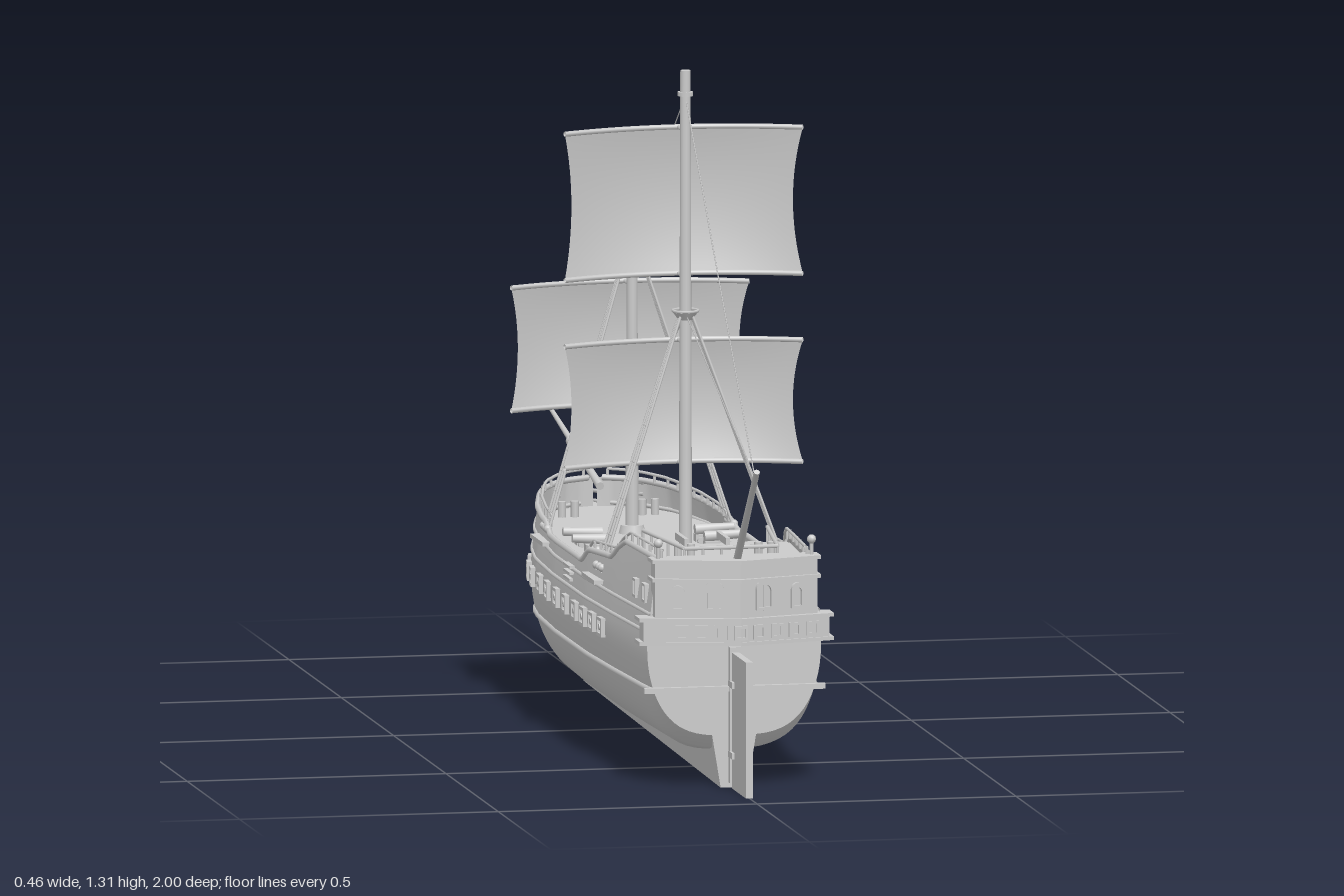
import * as THREE from 'three';

const mat = new THREE.MeshStandardMaterial({ color: 0xcccccc, side: THREE.DoubleSide });
const V = (x, y, z) => new THREE.Vector3(x, y, z);

// Piecewise-linear lookup in a list of [z, value], z descending
function table(rows) {
  return z => {
    if (z >= rows[0][0]) return rows[0][1];
    for (let i = 1; i < rows.length; i++) {
      const [z0, a] = rows[i - 1], [z1, b] = rows[i];
      if (z >= z1) return a + (b - a) * (z0 - z) / (z0 - z1);
    }
    return rows[rows.length - 1][1];
  };
}
const STERN = 0.78, BOW = -0.55, DECK = 0.345, POOP = 0.425;
// Hull lines: beam, bottom, height of widest point, top edge
const beam = table([[.78, .168], [.5, .185], [.3, .194], [0, .195], [-.2, .187], [-.3, .175], [-.4, .15], [-.45, .13], [-.5, .096], [-.53, .06], [-.545, .03], [-.55, .004]]);
const bottom = table([[.78, .1], [.76, .075], [.72, .065], [-.28, .065], [-.38, .098], [-.47, .15], [-.51, .205], [-.535, .26], [-.55, .31]]);
const widest = table([[.78, .27], [-.4, .27], [-.5, .3], [-.55, .35]]);
const sheer = table([[.78, .44], [.54, .44], [.5, .425], [.46, .4], [.28, .388], [.24, .362], [-.08, .362], [-.14, .378], [-.55, .4]]);

function halfWidth(z, y) {
  const m = widest(z), b = bottom(z);
  if (y >= m) return beam(z) * (1 - 0.09 * ((y - m) / 0.13) ** 1.3);
  const c = 1 - Math.max(0, (y - b) / (m - b));
  return beam(z) * Math.sqrt(1 - c * c) ** 0.6;
}

// Surface from a rule on u, v in 0..1
function grid(nu, nv, rule) {
  const pos = [], idx = [];
  for (let j = 0; j <= nv; j++) for (let i = 0; i <= nu; i++) pos.push(...rule(i / nu, j / nv));
  for (let j = 0; j < nv; j++) for (let i = 0; i < nu; i++) {
    const a = j * (nu + 1) + i, b = a + nu + 1;
    idx.push(a, a + 1, b, a + 1, b + 1, b);
  }
  const g = new THREE.BufferGeometry();
  g.setAttribute('position', new THREE.Float32BufferAttribute(pos, 3));
  g.setIndex(idx);
  g.computeVertexNormals();
  return g;
}

export function createModel() {
  const ship = new THREE.Group();
  ship.name = 'sailingShip';
  const add = (name, geo, x = 0, y = 0, z = 0, ry = 0) => {
    const m = new THREE.Mesh(geo, mat);
    m.name = name;
    m.position.set(x, y, z);
    m.rotation.y = ry;
    ship.add(m);
    return m;
  };
  const box = (name, w, h, d, x, y, z, ry) => add(name, new THREE.BoxGeometry(w, h, d), x, y, z, ry);
  const bar = (name, a, b, r0, r1 = r0, sides = 6) => {
    const d = b.clone().sub(a);
    const m = add(name, new THREE.CylinderGeometry(r1, r0, d.length(), sides));
    m.position.copy(a).addScaledVector(d, 0.5);
    m.quaternion.setFromUnitVectors(V(0, 1, 0), d.normalize());
    return m;
  };
  const tube = (name, pts, r, n = 60) => add(name, new THREE.TubeGeometry(new THREE.CatmullRomCurve3(pts), n, r, 6));
  const slab = (name, pts, y0, y1) => {
    const s = new THREE.Shape(pts.map(([x, z]) => new THREE.Vector2(x, -z)));
    return add(name, new THREE.ExtrudeGeometry(s, { depth: y1 - y0, bevelEnabled: false }).rotateX(-Math.PI / 2), 0, y0);
  };
  // Square or arched frame, facing +z
  const frame = (w, h, t, d, arch) => {
    const outline = (S, a, b) => {
      const s = new S();
      s.moveTo(-a, -b); s.lineTo(a, -b); s.lineTo(a, b);
      if (arch) s.absarc(0, b, a, 0, Math.PI, false); else s.lineTo(-a, b);
      s.closePath();
      return s;
    };
    const s = outline(THREE.Shape, w / 2, h / 2);
    s.holes.push(outline(THREE.Path, w / 2 - t, h / 2 - t));
    return new THREE.ExtrudeGeometry(s, { depth: d, bevelEnabled: false, curveSegments: 8 });
  };

  // Hull shell and stern board
  add('hull', grid(56, 100, (u, v) => {
    const z = STERN + (BOW - STERN) * Math.sin(v * Math.PI / 2);
    const k = Math.abs(2 * u - 1), m = widest(z), b = bottom(z);
    const y = k < 0.6 ? b + (m - b) * (1 - Math.cos(k / 0.6 * Math.PI / 2)) : m + (sheer(z) - m) * (k - 0.6) / 0.4;
    return [Math.sign(u - 0.5) * halfWidth(z, y), y, z];
  }));
  add('transom', grid(2, 24, (u, v) => {
    const y = .1 + .34 * v * v;
    return [(2 * u - 1) * halfWidth(STERN, y), y, STERN];
  }));

  // Decks
  const deck = (name, z0, z1, y) => add(name, grid(2, 50, (u, v) => {
    const z = z0 + (z1 - z0) * v;
    return [(2 * u - 1) * halfWidth(z, y) * 0.99, y, z];
  }));
  deck('mainDeck', .5, -.548, DECK);
  deck('poopDeck', STERN, .5, POOP);
  box('poopBulkhead', .33, POOP - DECK, .006, 0, (POOP + DECK) / 2, .5);
  for (let i = 0; i < 5; i++) for (const s of [-1, 1]) box('stairStep', .05, .016 * (5 - i), .016, s * .075, DECK + .008 * (5 - i), .49 - i * .016);
  box('hatch', .13, .008, .085, 0, DECK + .004, .07);
  box('hatchGrating', .11, .012, .065, 0, DECK + .005, .07);
  for (const x of [-.04, .04]) box('deckBench', .008, .014, .09, x, POOP + .007, .48);

  // Keel and curved stem, tapering downward and toward the bow
  const side = new THREE.Shape();
  side.moveTo(.78, 0); side.lineTo(-.625, 0);
  side.splineThru([[-.585, .065], [-.565, .14], [-.58, .22], [-.62, .29], [-.685, .335]].map(p => new THREE.Vector2(...p)));
  side.lineTo(-.53, .34); side.lineTo(-.5, .2); side.lineTo(-.36, .1); side.lineTo(-.25, .075); side.lineTo(.78, .11);
  const keel = new THREE.ExtrudeGeometry(side, { depth: 2, bevelEnabled: false, curveSegments: 24 }).translate(0, 0, -1).rotateY(-Math.PI / 2);
  const kp = keel.attributes.position;
  for (let i = 0; i < kp.count; i++) {
    const f = Math.min(1, Math.max(.15, (kp.getZ(i) + .68) / .2));
    kp.setX(i, kp.getX(i) * (.026 + Math.min(.018, kp.getY(i) * .25)) * f);
  }
  keel.computeVertexNormals();
  add('keel', keel);
  box('rudder', .014, .26, .135, 0, .13, .86);
  box('sternPost', .022, .26, .016, 0, .14, .786);
  for (const y of [.065, .2]) box('rudderHinge', .024, .012, .04, 0, y, .8);

  // Gallery across the stern
  const plan = (w, z0, z1, z2) => [[-w, z0], [-w, z1], [0, z2], [w, z1], [w, z0]];
  slab('sternCastle', plan(.157, .76, .80, .84), .285, .44);
  slab('gallery', plan(.18, .765, .803, .846), .285, .327);
  for (const [y, w] of [[.28, .188], [.325, .188], [.4, .163], [.436, .163]]) slab('galleryMoulding', plan(w, .76, .805, .85), y, y + .007);
  const onStern = (name, geo, x, y, out) => add(name, geo, x, y, .84 + out - .258 * Math.abs(x), Math.sign(x) * .252);
  for (let i = -4; i <= 4; i++) onStern('galleryWindow', frame(.025, .027, .005, .006), i * .036, .305, .005);
  for (const x of [-.048, .048]) {
    onStern('archedWindow', frame(.036, .04, .005, .006, true), x, .366, 0);
    onStern('windowBar', new THREE.BoxGeometry(.003, .05, .008), x, .368, 0);
  }
  for (const x of [-.115, .115]) onStern('smallWindow', frame(.026, .036, .005, .006, true), x, .363, 0);
  box('wales', .35, .01, .012, 0, .19, STERN + .004);

  // Side planking, ports, rails; mirrored
  const along = (s, z0, z1, n, yOf, out = 0) => Array.from({ length: n + 1 }, (_, i) => {
    const z = z0 + (z1 - z0) * i / n, y = yOf(z);
    return V(s * (halfWidth(z, y) + out), y, z);
  });
  const ports = [.45, .38, .31, .235, .145, .06, -.03, -.12, -.215, -.29, -.37, -.45];
  for (const s of [-1, 1]) {
    tube('lowerWale', along(s, .785, -.505, 40, () => .19), .006, 90);
    tube('middleWale', along(s, .785, -.54, 40, z => .3 + .05 * Math.max(0, -z - .2)), .004, 90);
    tube('upperWale', along(s, .785, -.545, 40, z => .335 + .03 * Math.max(0, -z)), .004, 90);
    tube('gunwale', along(s, .785, -.548, 60, sheer), .006, 120);
    for (const [a, b] of [[.78, .26], [-.12, -.545]]) {
      tube('topRail', along(s, a, b, 30, z => sheer(z) + .017, -.006), .003, 70);
      for (const p of along(s, a, b, 12, sheer, -.006)) bar('railPost', p, p.clone().add(V(0, .017, 0)), .003);
    }
    const outward = z => s * (Math.PI / 2 - Math.atan((halfWidth(z + .02, .265) - halfWidth(z - .02, .265)) / .04) * 1);
    for (const z of ports) {
      const x = s * (halfWidth(z, .265) - .004);
      add('gunPort', frame(.036, .036, .006, .012), x, .265, z, s * Math.PI - outward(z));
      bar('portMuzzle', V(x, .265, z), V(x + s * .012, .265, z), .007, .006, 8);
    }
    for (const z of [.66, .73]) add('cabinWindow', frame(.03, .036, .005, .009), s * (halfWidth(z, .37) - .003), .37, z, s * Math.PI / 2);
    for (const z of [.36, -.14]) box('shroudChannel', .022, .008, .12, s * (halfWidth(z, .345) + .004), .345, z);
    for (let i = 0; i < 3; i++) box('sideStep', .012, .005, .06, s * (halfWidth(.15, .33) + .003), .315 + i * .012, .15);

    // Deck guns
    for (const z of [-.04, .05, .21]) {
      box('gunCarriage', .05, .014, .024, s * .115, DECK + .011, z);
      bar('gunBarrel', V(s * .09, DECK + .026, z), V(s * .165, DECK + .03, z), .011, .008, 10);
      for (const dx of [-.016, .016]) bar('gunAxle', V(s * .115 + dx, DECK + .007, z - .018), V(s * .115 + dx, DECK + .007, z + .018), .007, .007, 8);
    }
    // Mooring posts
    for (const [z, y] of [[-.42, DECK], [.69, POOP]]) for (const x of [.065, .09]) bar('mooringPost', V(s * x, y, z), V(s * x, y + .03, z), .008, .008, 8);
    // Stern lantern
    bar('lanternPost', V(s * .148, .43, .787), V(s * .148, .465, .787), .004);
    add('lantern', new THREE.SphereGeometry(.009, 8, 6), s * .148, .472, .787);
    // Beakhead rails
    for (let i = 0; i < 3; i++) tube('beakRail', [V(s * .085, .35 + i * .022, -.505), V(s * .045, .345 + i * .02, -.57), V(s * .005, .34 + i * .019, -.675)], .004, 16);
    for (const [x, z] of [[.06, -.545], [.032, -.6]]) bar('beakPost', V(s * x, .335, z), V(s * x, .387, z), .004);
  }
  slab('beakPlatform', [[-.07, -.525], [.07, -.525], [0, -.68]], .332, .34);

  // Poop railing
  const rail = [[-.12, .505], [-.09, .75], [.09, .75], [.12, .505]];
  for (let i = 0; i < 3; i++) {
    const a = V(rail[i][0], .455, rail[i][1]), b = V(rail[i + 1][0], .455, rail[i + 1][1]);
    bar('poopRail', a, b, .004);
    for (let k = 0; k < 6; k++) {
      const p = a.clone().lerp(b, k / 5);
      bar('poopRailPost', V(p.x, POOP, p.z), p, .003);
    }
  }

  // Masts, tops and shrouds
  const mast = (z, top, platform, feet) => {
    bar('mast', V(0, DECK - .02, z), V(0, top, z), .013, .01, 12);
    add('mastCollar', new THREE.CylinderGeometry(.022, .026, .016, 12), 0, DECK + .008, z);
    add('mastTop', new THREE.CylinderGeometry(.024, .014, .014, 12), 0, platform, z);
    add('mastTopRim', new THREE.TorusGeometry(.024, .003, 6, 16).rotateX(Math.PI / 2), 0, platform + .01, z);
    add('mastCap', new THREE.CylinderGeometry(.015, .015, .008, 12), 0, top - .045, z);
    for (const s of [-1, 1]) {
      const lines = feet.map((f, i) => [V(s * halfWidth(f, .36), .36, f), V(s * .012, platform, z + .012 - i * .008)]);
      for (const [a, b] of lines) {
        bar('shroud', a, b, .0028);
        add('deadeye', new THREE.SphereGeometry(.008, 8, 6), a.x, a.y + .01, a.z);
      }
      for (let k = 1; k < 13; k++) bar('ratline', ...[0, lines.length - 1].map(i => lines[i][0].clone().lerp(lines[i][1], k / 14)), .0015, .0015, 4);
    }
  };
  mast(.315, 1.305, .835, [.4, .38, .358]);
  mast(-.195, .94, .89, [-.11, -.135, -.16]);

  // Billowing sails between curved yards
  const sail = (y0, y1, z) => {
    const at = (u, v, d = 0) => {
      const x = 2 * u - 1, belly = 4 * v * (1 - v);
      return [x * (.23 - .016 * belly), y0 + (y1 - y0) * v, z - .052 * (1 - x * x) - .016 * belly + d];
    };
    add('sail', grid(24, 16, (u, v) => at(u, v)));
    for (const v of [0, 1]) {
      tube('yard', Array.from({ length: 9 }, (_, i) => V(...at(i / 8, v))), .005, 24);
      bar('yardSling', V(...at(.5, v)), V(0, v ? y1 : y0, z + .012), .004);
    }
  };
  sail(.907, 1.187, .3);
  sail(.547, .78, .3);
  sail(.583, .818, -.212);

  // Bowsprit, stern spar and stays
  bar('bowsprit', V(0, .39, -.5), V(0, .475, -1), .008, .004, 8);
  add('bowspritRing', new THREE.SphereGeometry(.01, 8, 6), 0, .436, -.78);
  bar('sternSpar', V(0, .405, .775), V(0, .635, .997), .008, .006, 8);
  const stays = [[.62, .98, 1.255, .315], [.62, .98, .84, .315], [1.255, .315, .91, -.195], [.91, -.195, .435, -.78], [.84, .315, .545, -.18], [.545, -.18, .435, -.78]];
  for (const [ya, za, yb, zb] of stays) bar('stay', V(0, ya, za), V(0, yb, zb), .0012, .0012, 4);

  return ship;
}
